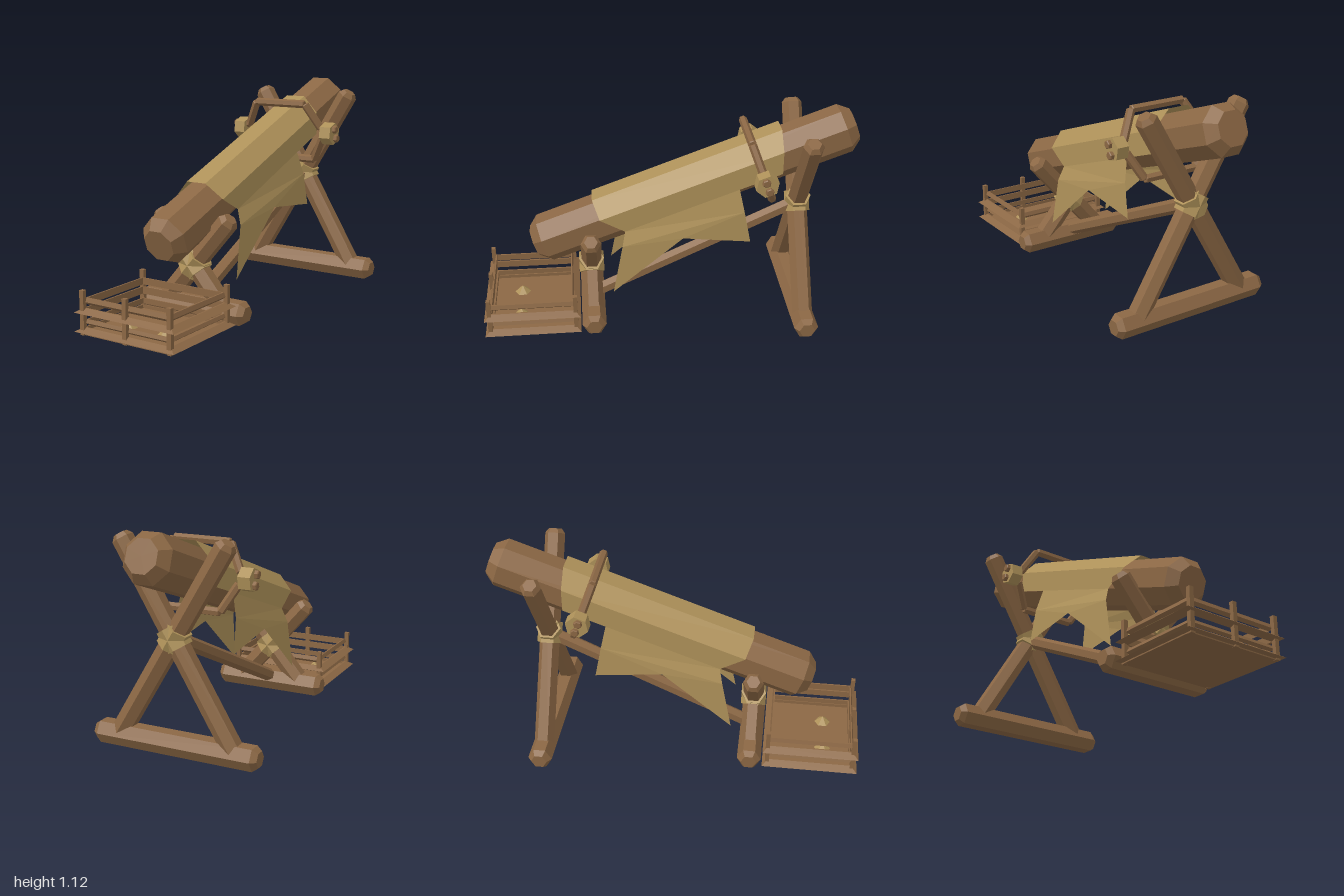
import * as THREE from 'three';

const wood = new THREE.MeshStandardMaterial({ color: 0x8b6744, flatShading: true });
wood.name = 'brown wood';
const hide = new THREE.MeshStandardMaterial({ color: 0xae9159, flatShading: true, side: THREE.DoubleSide });
hide.name = 'tan hide and rope';

const UP = new THREE.Vector3(0, 1, 0);
const TILT = 0.351; // slope of the log

function add(parent, name, geometry, material) {
  const mesh = new THREE.Mesh(geometry, material);
  mesh.name = name;
  parent.add(mesh);
  return mesh;
}

// Faceted pole from a to b with bevelled ends
function pole(parent, name, a, b, r, { bevel = r * 0.45, tip = 0.65, sides = 6, turn = 0, material = wood } = {}) {
  const from = new THREE.Vector3(...a);
  const dir = new THREE.Vector3(...b).sub(from);
  const len = dir.length();
  const profile = [[0, 0], [r * tip, 0], [r, bevel], [r, len - bevel], [r * tip, len], [0, len]]
    .map(([x, y]) => new THREE.Vector2(x, y));
  const mesh = add(parent, name, new THREE.LatheGeometry(profile, sides, turn), material);
  mesh.position.copy(from);
  mesh.quaternion.setFromUnitVectors(UP, dir.normalize());
  return mesh;
}

// Crossed legs on a ground beam, lashed where they cross
function trestle(name, z, beamHalf, top, cross) {
  const group = new THREE.Group();
  group.name = name;
  group.position.z = z;
  pole(group, 'groundBeam', [-beamHalf, 0.056, 0], [beamHalf, 0.056, 0], 0.064);
  const slope = (top[1] - cross) / top[0];
  const footX = (cross - 0.05) / slope;
  const d = new THREE.Vector2(1, slope).normalize().multiplyScalar(0.055);
  for (const s of [-1, 1]) {
    pole(group, 'crossedLeg', [-s * footX, 0.05, 0], [s * top[0], top[1], 0], 0.054);
    pole(group, 'lashing', [-s * d.x, cross - d.y, 0], [s * d.x, cross + d.y, 0], 0.067,
      { bevel: 0, tip: 1, material: hide });
  }
  return group;
}

// Height at depth z of a line lying h above the log axis
const logY = (z, h) => 0.437 + (0.66 - z) * 0.367 + h / 0.939;

// Hide draped over the log with a ragged flap on each side
function drapedHide() {
  const p = [];
  const quad = (a, b, c, d) => p.push(...a, ...b, ...c, ...a, ...c, ...d);
  const tri = (a, b, c) => p.push(...a, ...b, ...c);
  const on = (x, h, z) => [x, logY(z, h), z];
  quad(on(-0.056, 0.14, 0.405), on(0.056, 0.14, 0.405), on(0.056, 0.14, -0.575), on(-0.056, 0.14, -0.575));
  for (const s of [-1, 1]) {
    const t0 = on(s * 0.056, 0.14, 0.405), t1 = on(s * 0.056, 0.14, -0.575);
    const u0 = on(s * 0.138, 0.056, 0.37), u1 = on(s * 0.138, 0.056, -0.575);
    const l0 = on(s * 0.14, -0.056, 0.24), l1 = on(s * 0.14, -0.056, -0.575);
    const lm = on(s * 0.14, -0.056, -0.355);
    const m0 = [s * 0.167, 0.455, 0.257], m1 = [s * 0.168, 0.63, -0.38];
    const front = [s * 0.178, 0.185, 0.31], notch = [s * 0.175, 0.495, -0.06], back = [s * 0.175, 0.455, -0.415];
    quad(t0, u0, u1, t1);
    quad(u0, l0, l1, u1);
    quad(l0, m0, m1, lm);
    tri(m0, front, notch);
    tri(m0, notch, m1);
    tri(m1, notch, back);
  }
  const g = new THREE.BufferGeometry();
  g.setAttribute('position', new THREE.Float32BufferAttribute(p, 3));
  g.computeVertexNormals();
  return g;
}

// Two bent rods clamped around the log and bound at the sides
function clamp() {
  const group = new THREE.Group();
  group.name = 'clamp';
  group.position.set(0, 0.852, -0.465);
  group.rotation.x = TILT;
  for (const s of [-1, 1]) {
    const path = [[-0.33, 0.027], [-0.232, 0.027], [-0.155, 0.17], [0.155, 0.17], [0.232, 0.027], [0.33, 0.027]];
    for (let i = 0; i < path.length - 1; i++) {
      const [a, b] = [path[i], path[i + 1]];
      pole(group, 'clampRod', [a[0], s * a[1], 0], [b[0], s * b[1], 0], 0.022, { bevel: 0.004, tip: 0.8 });
    }
    pole(group, 'clampBinding', [s * 0.245, 0, 0], [s * 0.31, 0, 0], 0.061, { bevel: 0, tip: 1, material: hide });
  }
  return group;
}

// Low slatted tray on the ground in front
function tray() {
  const group = new THREE.Group();
  group.name = 'tray';
  group.position.z = 0.743;
  const depth = 0.856;
  const floor = add(group, 'trayFloor', new THREE.BoxGeometry(0.54, 0.018, 0.46), wood);
  floor.position.y = 0.013;
  // rails: inner half-width, outer half-width, bottom, top
  const rails = [[0.25, 0.295, 0.004, 0.04], [0.242, 0.258, 0.05, 0.078],
    [0.25, 0.295, 0.098, 0.135], [0.242, 0.258, 0.15, 0.185]];
  for (const [inner, outer, y0, y1] of rails) {
    const profile = [[inner, y0], [outer, y0 * 0.6 + y1 * 0.4], [inner + 0.008, y1], [inner, y1], [inner, y0]]
      .map(([x, y]) => new THREE.Vector2(x * Math.SQRT2, y));
    const rail = add(group, 'trayRail', new THREE.LatheGeometry(profile, 4, Math.PI / 4), wood);
    rail.scale.z = depth;
  }
  for (const [x, z] of [[-0.258, -0.226], [0.258, -0.226], [-0.258, 0.226], [0.258, 0.226], [0, 0.226]]) {
    const post = add(group, 'trayPost', new THREE.BoxGeometry(0.024, 0.22, 0.022), wood);
    post.position.set(x, 0.113, z);
  }
  for (const x of [-0.11, 0.11]) {
    const knot = add(group, 'floorKnot', new THREE.ConeGeometry(0.046, 0.04, 6), hide);
    knot.position.set(x, 0.04, 0.068);
  }
  return group;
}

export function createModel() {
  const model = new THREE.Group();
  model.name = 'logOnTrestles';
  pole(model, 'log', [0, 0.418, 0.712], [0, 1.03, -0.965], 0.13,
    { bevel: 0.055, tip: 0.66, sides: 8, turn: Math.PI / 8 });
  add(model, 'drapedHide', drapedHide(), hide);
  model.add(clamp());
  model.add(trestle('frontTrestle', 0.42, 0.315, [0.217, 0.523], 0.27));
  model.add(trestle('rearTrestle', -0.69, 0.448, [0.285, 1.065], 0.59));
  pole(model, 'brace', [0, 0.065, 0.43], [0, 0.59, -0.69], 0.037);
  model.add(tray());
  return model;
}
